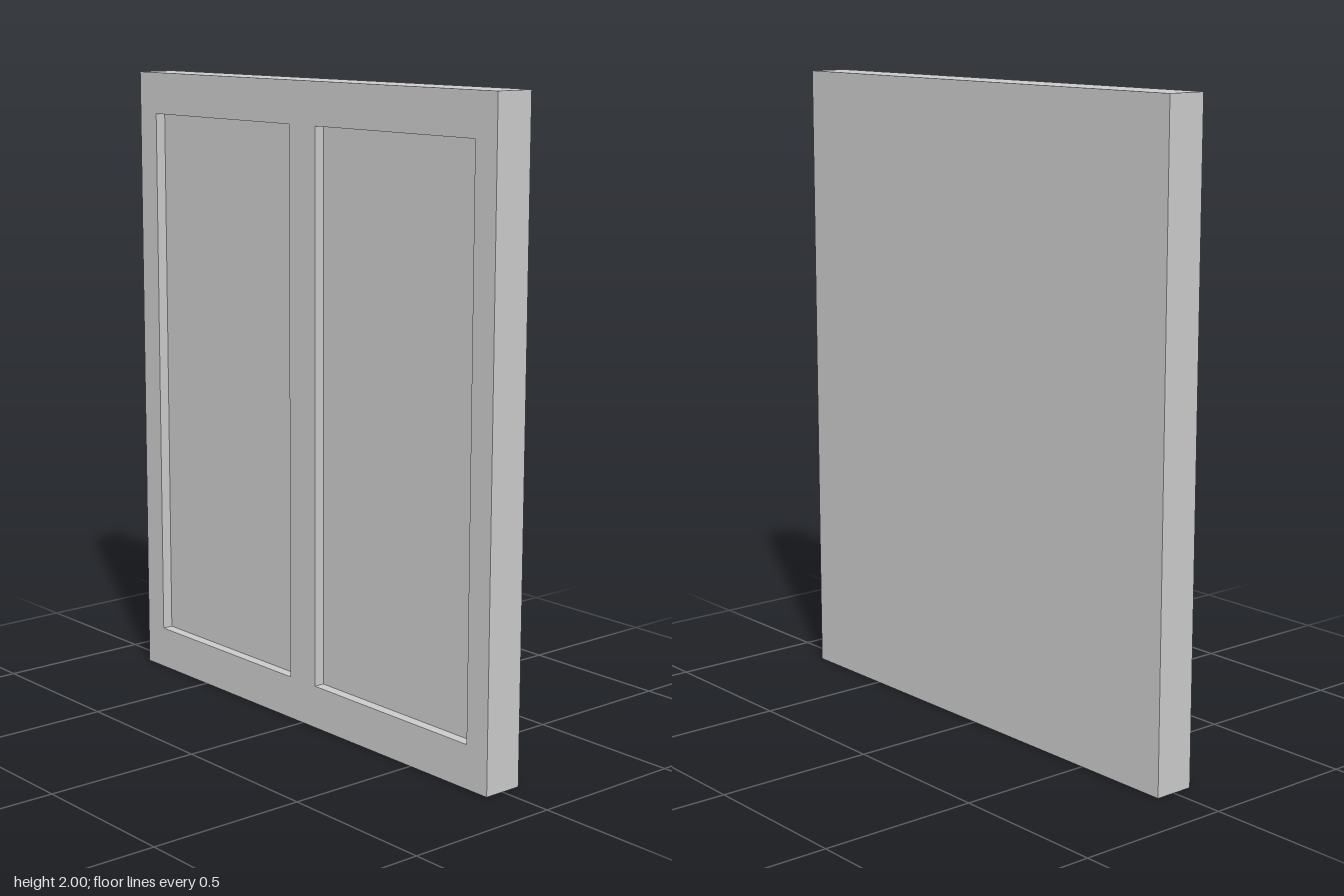
import * as THREE from 'three';

const WIDTH = 1.646, HEIGHT = 2, DEPTH = 0.128, RECESS = 0.034;
const PANEL = { inner: 0.06, outer: 0.738, bottom: 0.135, top: 1.868 };

// Closed rectangle, used for both the outline and the openings
function rectangle(PathType, x0, y0, x1, y1) {
  const path = new PathType();
  path.moveTo(x0, y0);
  path.lineTo(x1, y0);
  path.lineTo(x1, y1);
  path.lineTo(x0, y1);
  path.closePath();
  return path;
}

export function createModel() {
  const group = new THREE.Group();
  group.name = 'doublePanel';
  const material = new THREE.MeshStandardMaterial({ color: 0xcccccc });

  // Solid backing slab, its front seen as the two recessed panels
  const slabDepth = DEPTH - RECESS;
  const slab = new THREE.Mesh(new THREE.BoxGeometry(WIDTH, HEIGHT, slabDepth), material);
  slab.name = 'backingSlab';
  slab.position.set(0, HEIGHT / 2, (slabDepth - DEPTH) / 2);
  group.add(slab);

  // Raised front frame with a mirrored pair of openings
  const outline = rectangle(THREE.Shape, -WIDTH / 2, 0, WIDTH / 2, HEIGHT);
  for (const [x0, x1] of [[-PANEL.outer, -PANEL.inner], [PANEL.inner, PANEL.outer]]) {
    outline.holes.push(rectangle(THREE.Path, x0, PANEL.bottom, x1, PANEL.top));
  }
  const frame = new THREE.Mesh(
    new THREE.ExtrudeGeometry(outline, { depth: RECESS, bevelEnabled: false }), material);
  frame.name = 'frontFrame';
  frame.position.z = DEPTH / 2 - RECESS;
  group.add(frame);

  return group;
}
